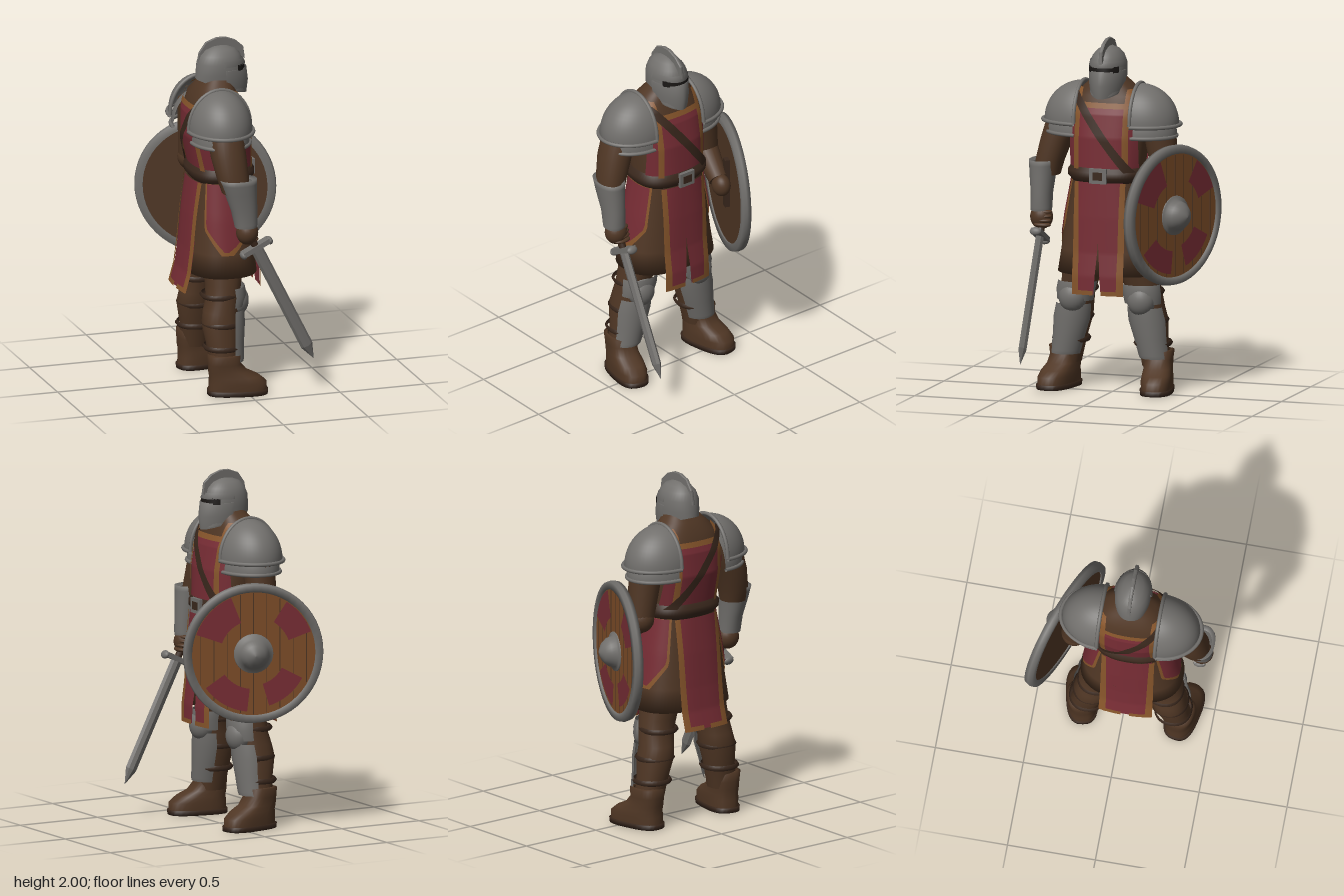
import * as THREE from 'three';

const mat = (name, color) => Object.assign(new THREE.MeshStandardMaterial({ color, side: THREE.DoubleSide }), { name });
const steel = mat('steel', 0x716f6c), leather = mat('brown leather', 0x4f3624), dark = mat('dark leather', 0x39271c);
const red = mat('red cloth', 0x762c34), ochre = mat('ochre trim', 0x85542a), wood = mat('shield wood', 0x7c4c27);
const black = mat('visor shadow', 0x191614);

// smooth surface over a grid; v runs upward, u runs from +x toward +z
function grid(nu, nv, fn, closed = false) {
  const pos = [], idx = [], cols = closed ? nu : nu + 1;
  for (let j = 0; j <= nv; j++) for (let i = 0; i < cols; i++) pos.push(...fn(i / nu, j / nv, j));
  for (let j = 0; j < nv; j++) for (let i = 0; i < nu; i++) {
    const k = (i + 1) % cols, a = j * cols + i, b = j * cols + k, c = b + cols, d = a + cols;
    idx.push(a, d, b, b, d, c);
  }
  const g = new THREE.BufferGeometry();
  g.setAttribute('position', new THREE.Float32BufferAttribute(pos, 3));
  g.setIndex(idx);
  g.computeVertexNormals();
  return g;
}
const pw = (v, e) => Math.sign(v) * Math.abs(v) ** e;

// rings listed upward: [y, centreX, centreZ, radiusX, radiusZ, tilt]
function loft(rings, { n = 28, p = 2.2, arc = Math.PI * 2 } = {}) {
  const closed = arc > 6.28;
  return grid(n, rings.length - 1, (u, v, j) => {
    const [y, cx, cz, rx, rz, tilt = 0] = rings[j], a = (u - 0.5) * arc;
    const dx = rx * pw(Math.cos(a), 2 / p);
    return [cx + dx, y + tilt * dx, cz + rz * pw(Math.sin(a), 2 / p)];
  }, closed);
}

// torso and skirt profile: [y, centreX, radiusX, radiusZ]
const BODY = [[0.56, -0.09, 0.215, 0.305], [0.67, -0.075, 0.2, 0.29], [0.8, -0.075, 0.185, 0.27], [1.0, -0.07, 0.175, 0.24],
  [1.2, -0.065, 0.16, 0.2], [1.28, -0.065, 0.16, 0.205], [1.45, -0.085, 0.175, 0.22], [1.58, -0.095, 0.16, 0.225],
  [1.68, -0.1, 0.125, 0.2], [1.74, -0.09, 0.095, 0.13], [1.8, -0.07, 0.07, 0.075]];
const P = 2.5;
function bodyAt(y) {
  let i = 0;
  while (i < BODY.length - 2 && y > BODY[i + 1][0]) i++;
  const A = BODY[i], B = BODY[i + 1], t = (y - A[0]) / (B[0] - A[0]);
  return A.map((v, k) => v + (B[k] - v) * t);
}
function onBody(y, a, off) {
  const [, cx, rx, rz] = bodyAt(y);
  return [cx + (rx + off) * pw(Math.cos(a), 2 / P), y, (rz + off) * pw(Math.sin(a), 2 / P)];
}
const angleAt = (y, z) => Math.asin(pw(THREE.MathUtils.clamp(z / bodyAt(y)[3], -0.98, 0.98), P / 2));

export function createModel() {
  const root = new THREE.Group(), body = new THREE.Group();
  root.name = 'knight';
  body.name = 'body';
  body.position.z = 0.045;
  root.add(body);
  const add = (name, geo, m, parent = body, x = 0, y = 0, z = 0) => {
    const o = new THREE.Mesh(geo, m);
    o.name = name;
    o.position.set(x, y, z);
    parent.add(o);
    return o;
  };
  const ball = (name, m, x, y, z, sx, sy, sz, parent = body) =>
    add(name, new THREE.SphereGeometry(1, 24, 16), m, parent, x, y, z).scale.set(sx, sy, sz);
  const tube = (name, pts, r, m, parent = body) => add(name, new THREE.TubeGeometry(
    new THREE.CatmullRomCurve3(pts.map(q => new THREE.Vector3(...q))), 24, r, 8), m, parent);
  // cloth between two z edges, on the front or the back of the body
  const cloth = (name, m, y0, y1, zA, zB, off, back = false) => add(name, grid(16, 24, (u, v) => {
    const y = y0 + (y1 - y0) * v, za = zA(y), zb = zB(y);
    const a = angleAt(y, za + (zb - za) * u);
    return onBody(y, back ? Math.PI - a : a, off);
  }), m);
  const c = k => () => k;

  // tunic
  const tunic = BODY.slice(1).map(([y, cx, rx, rz]) => [y, cx, 0, rx, rz]);
  add('tunic', loft([[0.69, -0.075, 0, 0.01, 0.01], ...tunic], { n: 64, p: P }), leather);

  // tabard, front and back
  for (const back of [false, true]) {
    const side = back ? 'back' : 'front';
    cloth(side + 'ChestCloth', red, 1.28, 1.52, c(-0.195), c(0.195), 0.008, back);
    cloth(side + 'UpperCloth', red, 1.52, 1.63, c(-0.135), c(0.135), 0.008, back);
    cloth(side + 'Collar', ochre, 1.615, 1.645, c(-0.14), c(0.14), 0.014, back);
    cloth(side + 'SkirtCloth', red, 0.86, 1.2, c(-0.125), c(0.125), 0.016, back);
    for (const s of [-1, 1]) {
      const flap = y => s * (back ? 0 : Math.max(0, (0.86 - y) * 0.07));
      cloth(side + 'SkirtFlap', red, 0.57, 0.86, flap, c(s * 0.135), 0.016, back);
      cloth(side + 'SkirtTrim', ochre, 0.565, 1.2, y => s * (0.11 - (1.2 - y) * 0.01), y => s * (0.135 + (1.2 - y) * 0.01), 0.022, back);
      cloth(side + 'HemTrim', ochre, 0.565, 0.59, c(s * 0.022), c(s * 0.14), 0.021, back);
      cloth(side + 'ChestTrim', ochre, 1.27, 1.72, c(s * 0.12), c(s * 0.15), 0.013, back);
    }
    // baldric from the right shoulder to the left hip
    const strap = y => 0.15 - (1.68 - y) * 0.72;
    cloth(side + 'Baldric', dark, 1.24, 1.7, y => strap(y) - 0.028, y => strap(y) + 0.028, 0.02, back);
  }
  // pointed hip cloths
  for (const s of [-1, 1]) for (const [m, off, grow] of [[ochre, 0.006, 0.08], [red, 0.011, 0]])
    add('hipCloth', grid(16, 12, (u, v) => {
      const y = 0.82 - grow * 0.25 + (0.38 + grow * 0.25) * v, w = Math.min(0.62, 0.05 + v * 1.6) + grow;
      return onBody(y, s * (1.68 + (u - 0.5) * 2 * w), off);
    }), m);

  // belt and buckle
  add('belt', grid(64, 3, (u, v, j) => onBody(1.195 + 0.09 * v, u * Math.PI * 2, [0, 0.024, 0.024, 0][j]), true), dark);
  add('buckle', new THREE.BoxGeometry(0.02, 0.085, 0.1), steel, body, 0.123, 1.24, 0);
  add('buckleCentre', new THREE.BoxGeometry(0.012, 0.045, 0.055), dark, body, 0.13, 1.24, 0);

  // helmet
  add('helmetDome', loft([[1.725, -0.055, 0, 0.145, 0.095, -0.3], [1.8, -0.06, 0, 0.138, 0.1], [1.86, -0.06, 0, 0.132, 0.1],
    [1.905, -0.06, 0, 0.115, 0.084], [1.935, -0.06, 0, 0.085, 0.058], [1.952, -0.06, 0, 0.04, 0.026], [1.956, -0.06, 0, 0.001, 0.001]],
  { n: 36, p: 2.1 }), steel);
  add('eyeSlit', loft([[1.818, -0.06, 0, 0.142, 0.104], [1.852, -0.06, 0, 0.138, 0.104]], { arc: 2 }), black);
  add('visor', loft([[1.715, -0.05, 0, 0.146, 0.096, -0.3], [1.76, -0.05, 0, 0.155, 0.105, -0.1], [1.825, -0.055, 0, 0.15, 0.108],
    [1.826, -0.055, 0, 0.13, 0.1]], { arc: 3.2, p: 1.75 }), steel);
  add('brow', loft([[1.846, -0.06, 0, 0.13, 0.1], [1.847, -0.06, 0, 0.148, 0.108], [1.88, -0.06, 0, 0.132, 0.1]], { arc: 3.2, p: 1.9 }), steel);
  const fin = new THREE.Shape([[-0.195, 1.84], [-0.16, 1.84], [0.05, 1.88], [0.085, 1.87], [0.075, 1.935], [0.03, 1.975], [-0.03, 1.997],
    [-0.08, 1.997], [-0.14, 1.975], [-0.18, 1.92]].map(q => new THREE.Vector2(...q)));
  add('helmetCrest', new THREE.ExtrudeGeometry(fin, { depth: 0.008, bevelSize: 0.003, bevelThickness: 0.006, bevelSegments: 1 }), steel, body, 0, 0, -0.004);

  for (const s of [-1, 1]) {
    // shoulder plates
    for (const [k, y] of [[1, 1.52], [0.9, 1.455]]) {
      const g = new THREE.SphereGeometry(1, 24, 12, s > 0 ? 0 : Math.PI, Math.PI, 0, Math.PI / 2);
      g.scale(0.18 * k, 0.22 * k, 0.225 * k + (k < 1 ? 0.012 : 0));
      add('shoulderPlate', g, steel, body, -0.115, y, s * 0.165);
      const rim = [], arch = [];
      for (let i = 0; i <= 12; i++) {
        const a = i / 12 * Math.PI;
        rim.push([-0.115 + 0.184 * k * Math.cos(a), y - 0.005, s * (0.165 + 0.235 * k * Math.sin(a))]);
        arch.push([-0.115 + 0.182 * Math.cos(a), y + 0.222 * Math.sin(a), s * 0.165]);
      }
      tube('shoulderRim', rim, 0.011, steel);
      if (k === 1) tube('shoulderLip', arch, 0.011, steel);
    }
    // legs
    add('leg', loft([[0.14, -0.12, s * 0.265, 0.08, 0.08], [0.28, -0.125, s * 0.24, 0.088, 0.085], [0.4, -0.13, s * 0.222, 0.105, 0.1],
      [0.47, -0.125, s * 0.21, 0.098, 0.095], [0.54, -0.11, s * 0.2, 0.092, 0.098], [0.62, -0.1, s * 0.18, 0.1, 0.105], [0.76, -0.09, s * 0.145, 0.12, 0.12]]), leather);
    add('greave', loft([[0.19, -0.1, s * 0.262, 0.09, 0.088], [0.21, -0.1, s * 0.258, 0.095, 0.09], [0.3, -0.1, s * 0.24, 0.1, 0.098],
      [0.4, -0.1, s * 0.222, 0.11, 0.112], [0.48, -0.09, s * 0.21, 0.1, 0.105]], { arc: 2.7, p: 2 }), steel);
    ball('kneeCap', steel, -0.03, 0.52, s * 0.203, 0.07, 0.09, 0.08);
    add('thighPlate', loft([[0.5, -0.09, s * 0.2, 0.1, 0.108], [0.56, -0.085, s * 0.195, 0.11, 0.115], [0.61, -0.09, s * 0.185, 0.108, 0.116]], { arc: 2.8 }), steel);
    for (const [y, z] of [[0.56, 0.195], [0.4, 0.222], [0.27, 0.242]])
      add('legStrap', loft([[y - 0.015, -0.125, s * z, 0.1, 0.1], [y, -0.125, s * z, 0.112, 0.108], [y + 0.015, -0.125, s * z, 0.1, 0.1]]), dark);
    // boots, toes turned out a little
    const boot = new THREE.Group();
    boot.name = 'boot';
    boot.position.set(-0.1, 0, s * 0.28);
    boot.rotation.y = -s * 0.2;
    body.add(boot);
    add('bootUpper', loft([[0.02, 0.05, 0, 0.165, 0.085], [0.07, 0.05, 0, 0.163, 0.088], [0.105, 0.03, 0, 0.14, 0.084], [0.135, -0.005, 0, 0.11, 0.08],
      [0.18, -0.025, 0, 0.092, 0.08], [0.23, -0.025, 0, 0.093, 0.087], [0.235, -0.025, 0, 0.07, 0.07]], { p: 2.6 }), leather, boot);
    add('bootSole', loft([[0, 0.05, 0, 0.001, 0.001], [0.001, 0.05, 0, 0.17, 0.09], [0.028, 0.05, 0, 0.172, 0.092], [0.03, 0.05, 0, 0.15, 0.08]], { p: 2.8 }), dark, boot);
  }

  // sword arm
  const upper = s => add('upperArm', loft([[1.2, -0.09, s * 0.37, 0.075, 0.07], [1.28, -0.1, s * 0.36, 0.09, 0.08],
    [1.4, -0.115, s * 0.325, 0.1, 0.09], [1.52, -0.12, s * 0.28, 0.1, 0.1], [1.62, -0.115, s * 0.24, 0.08, 0.09]]), leather);
  upper(1);
  add('vambrace', loft([[1.0, -0.035, 0.39, 0.062, 0.058], [1.02, -0.035, 0.39, 0.066, 0.06], [1.1, -0.045, 0.39, 0.075, 0.06],
    [1.2, -0.065, 0.392, 0.092, 0.07], [1.255, -0.075, 0.393, 0.1, 0.074], [1.285, -0.08, 0.393, 0.106, 0.076], [1.27, -0.08, 0.39, 0.08, 0.06]]), steel);
  ball('swordHand', leather, -0.025, 0.965, 0.385, 0.062, 0.07, 0.065);
  for (let i = 0; i < 4; i++) ball('finger', leather, 0.012 - i * 0.006, 0.925 + i * 0.024, 0.37, 0.03, 0.015, 0.052);

  // shield arm
  const limb = (name, a, b, ra, rb, m) => {
    const A = new THREE.Vector3(...a), B = new THREE.Vector3(...b), d = B.clone().sub(A);
    const o = add(name, new THREE.CylinderGeometry(rb, ra, d.length(), 20), m, root);
    o.position.copy(A).add(B).multiplyScalar(0.5);
    o.quaternion.setFromUnitVectors(new THREE.Vector3(0, 1, 0), d.normalize());
  };
  limb('shieldUpperArm', [-0.115, 1.56, -0.225], [-0.12, 1.22, -0.275], 0.1, 0.075, leather);
  ball('shieldElbow', leather, -0.12, 1.22, -0.275, 0.08, 0.08, 0.075, root);
  limb('shieldForearm', [-0.12, 1.22, -0.275], [0.05, 1.1, -0.24], 0.075, 0.055, leather);
  ball('shieldHand', leather, 0.08, 1.08, -0.235, 0.06, 0.065, 0.05, root);

  // sword
  const sword = new THREE.Group();
  sword.name = 'sword';
  sword.position.set(0.03, 0.87, 0.42);
  sword.rotation.z = Math.atan2(-0.34, -0.68);
  root.add(sword);
  const blade = loft([[0, 0, 0, 0.036, 0.024], [0.67, 0, 0, 0.036, 0.024], [0.76, 0, 0, 0.001, 0.001]], { n: 8, p: 1.6 }).toNonIndexed();
  blade.computeVertexNormals();
  add('blade', blade, steel, sword);
  add('crossGuard', new THREE.BoxGeometry(0.17, 0.028, 0.06), steel, sword);
  for (const s of [-1, 1]) ball('guardTip', steel, s * 0.085, 0.005, 0, 0.018, 0.024, 0.034, sword);
  add('grip', new THREE.CylinderGeometry(0.02, 0.02, 0.17, 12), dark, sword, 0, -0.09, 0);
  ball('pommel', steel, 0, -0.18, 0, 0.03, 0.03, 0.03, sword);

  // round shield, painted face outward
  const shield = new THREE.Group();
  shield.name = 'shield';
  shield.position.set(-0.013, 1.02, -0.35);
  shield.rotation.y = Math.atan2(0.365, -0.93);
  root.add(shield);
  const disc = new THREE.CylinderGeometry(0.375, 0.375, 0.034, 56).rotateX(Math.PI / 2);
  add('shieldBoards', disc, [steel, wood, leather], shield);
  add('shieldRim', new THREE.LatheGeometry([[0.35, -0.025], [0.392, -0.025], [0.398, 0], [0.392, 0.025], [0.35, 0.027], [0.35, -0.025]]
    .map(q => new THREE.Vector2(...q)), 56).rotateX(Math.PI / 2), steel, shield);
  for (let i = -4; i <= 4; i++) {
    const x = i * 0.075, h = 2 * Math.sqrt(0.345 ** 2 - x * x);
    add('boardSeam', new THREE.BoxGeometry(0.004, h, 0.003), leather, shield, x, 0, 0.0175);
  }
  for (const [a, len, r0, r1] of [[1.95, 0.85, 0.19, 0.345], [0.35, 0.65, 0.21, 0.345], [3.75, 0.85, 0.2, 0.33], [5.0, 0.8, 0.18, 0.31]])
    add('paintedPatch', new THREE.RingGeometry(r0, r1, 20, 1, a, len), red, shield, 0, 0, 0.0205);
  add('shieldBoss', new THREE.LatheGeometry([[0.112, 0.017], [0.11, 0.026], [0.088, 0.03], [0.08, 0.06], [0.055, 0.09], [0.02, 0.108], [0.0005, 0.112]]
    .map(q => new THREE.Vector2(...q)), 32).rotateX(Math.PI / 2), steel, shield);
  add('shieldGrip', new THREE.BoxGeometry(0.04, 0.3, 0.03), dark, shield, -0.09, 0.05, -0.03);
  return root;
}
